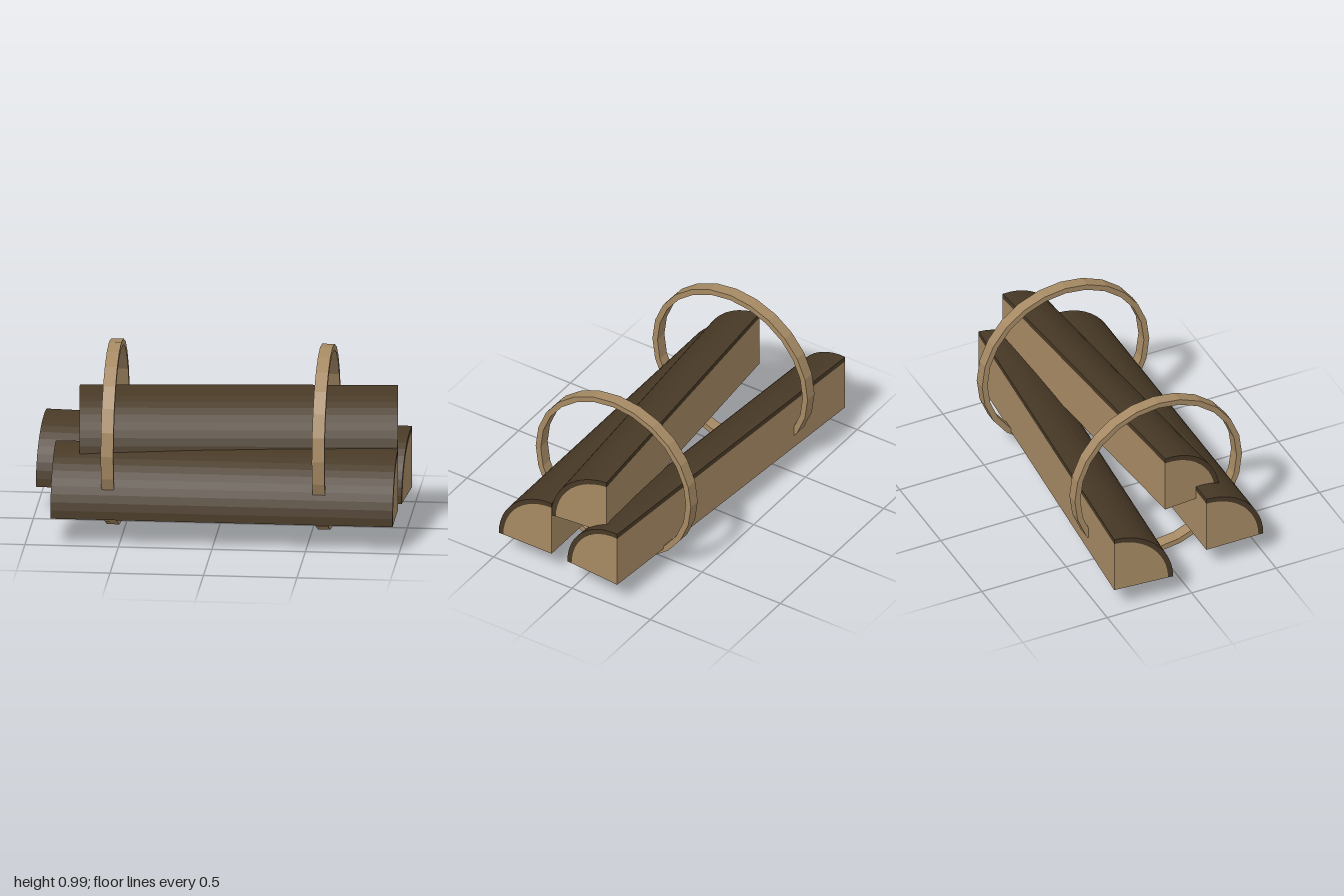
import * as THREE from 'three';

const wood = new THREE.MeshStandardMaterial({ color: 0xa68a64 });
wood.name = 'pale wood';
const bark = new THREE.MeshStandardMaterial({ color: 0x483926 });
bark.name = 'dark bark';

const RADIUS = 0.337;
const BARK = 0.029;

function arc(radius, sweep, sides) {
  const points = [];
  for (let i = 0; i <= sides; i++) {
    const a = (i / sides) * sweep;
    points.push(new THREE.Vector2(radius * Math.cos(a), radius * Math.sin(a)));
  }
  return points;
}

// Extrudes a (z, y) outline along x, centred on x = 0
function extrudeAlongX(shape, length) {
  const geometry = new THREE.ExtrudeGeometry(shape, { depth: length, bevelEnabled: false });
  geometry.translate(0, 0, -length / 2);
  geometry.rotateY(-Math.PI / 2);
  return geometry;
}

function addMesh(parent, name, geometry, material) {
  const mesh = new THREE.Mesh(geometry, material);
  mesh.name = name;
  parent.add(mesh);
  return mesh;
}

// Quarter log: split wood core with a curved bark layer, split corner at the origin
function makeLog(name, length, position, yaw) {
  const log = new THREE.Group();
  log.name = name;
  const inner = arc(RADIUS - BARK, Math.PI / 2, 12);
  const outer = arc(RADIUS, Math.PI / 2, 12);
  const core = new THREE.Shape([new THREE.Vector2(0, 0), ...inner]);
  const rind = new THREE.Shape([...outer, ...inner.slice().reverse()]);
  addMesh(log, 'splitWood', extrudeAlongX(core, length), wood);
  addMesh(log, 'barkLayer', extrudeAlongX(rind, length), bark);
  log.position.set(...position);
  log.rotation.y = yaw;
  return log;
}

export function createModel() {
  const model = new THREE.Group();
  model.name = 'firewoodBundle';

  // Logs
  model.add(makeLog('frontLog', 1.83, [0.05, 0.145, 0.153], 0));
  model.add(makeLog('backLog', 1.976, [0.015, 0.145, -0.3665], -0.0785));
  model.add(makeLog('upperLog', 1.696, [0.09, 0.403, -0.108], 0.083));

  // Carrying hoops
  const ring = new THREE.Shape(arc(0.495, Math.PI * 2, 24).slice(0, 24));
  ring.holes.push(new THREE.Path(arc(0.463, Math.PI * 2, 24).slice(0, 24)));
  const hoopGeometry = extrudeAlongX(ring, 0.067);
  for (const [name, x] of [['rightHoop', -0.562], ['leftHoop', 0.567]]) {
    addMesh(model, name, hoopGeometry, wood).position.set(x, 0.495, 0);
  }
  return model;
}
